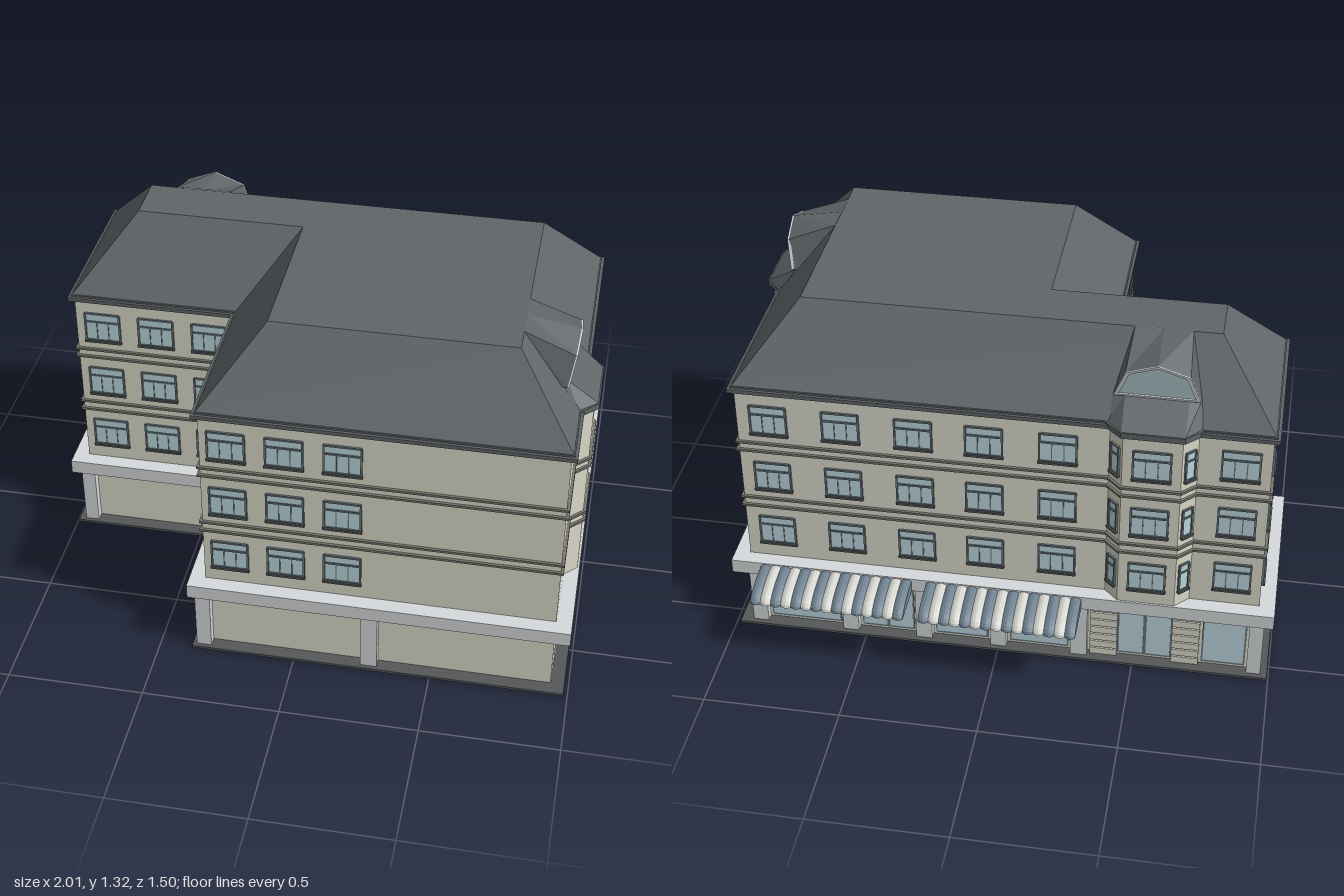
import * as THREE from 'three';

const mat = (color) => new THREE.MeshStandardMaterial({ color, side: THREE.DoubleSide, flatShading: true });
const M = {
  wall: mat(0xdcdbcb), trim: mat(0xd6dadc), roof: mat(0x606568), dark: mat(0x555759),
  band: mat(0x77766f), frame: mat(0x66747b), glass: mat(0xbcd8de), blue: mat(0x6f8290), pale: mat(0xd5d5d0),
};
const BACK = Math.PI, RIGHT = Math.PI / 2, LEFT = -Math.PI / 2;

function add(parent, name, geometry, material) {
  const mesh = new THREE.Mesh(geometry, material);
  mesh.name = name;
  parent.add(mesh);
  return mesh;
}

function place(parent, name, x, y, z, ry = 0) {
  const g = new THREE.Group();
  g.name = name;
  g.position.set(x, y, z);
  g.rotation.y = ry;
  parent.add(g);
  return g;
}

// box given by its limits
function box(parent, name, x0, x1, y0, y1, z0, z1, material) {
  const m = add(parent, name, new THREE.BoxGeometry(x1 - x0, y1 - y0, z1 - z0), material);
  m.position.set((x0 + x1) / 2, (y0 + y1) / 2, (z0 + z1) / 2);
  return m;
}

const planShape = (pts) => new THREE.Shape(pts.map(([x, z]) => new THREE.Vector2(x, -z)));

// upright prism over a plan outline of [x, z] points
function prism(parent, name, pts, y0, y1, material) {
  const g = new THREE.ExtrudeGeometry(planShape(pts), { depth: y1 - y0, bevelEnabled: false });
  g.rotateX(-Math.PI / 2).translate(0, y0, 0);
  return add(parent, name, g, material);
}

// faces between two matching rows of points
function strip(lower, upper, closed = false) {
  const v = [], n = lower.length;
  for (let i = 0; i < (closed ? n : n - 1); i++) {
    const j = (i + 1) % n;
    v.push(...lower[i], ...lower[j], ...upper[j], ...lower[i], ...upper[j], ...upper[i]);
  }
  const g = new THREE.BufferGeometry();
  g.setAttribute('position', new THREE.Float32BufferAttribute(v, 3));
  g.computeVertexNormals();
  return g;
}

// L-shaped plan and bay plan, grown outward by o
const plan = (o) => [[-0.945 - o, 0.075 + o], [-0.33 - o, 0.075 + o], [-0.33 - o, 0.69 + o],
  [0.935 + o, 0.69 + o], [0.935 + o, -0.525 - o], [-0.945 - o, -0.525 - o]];
const bayPlan = (o) => [[-0.1525 - o, -0.03], [-0.1525 - o, o * 0.4], [-0.1025 - o * 0.4, 0.05 + o],
  [0.1025 + o * 0.4, 0.05 + o], [0.1525 + o, o * 0.4], [0.1525 + o, -0.03]];

// frame, glass, crossbar, mullions and sill
function makeWindow(parent, x, y, z, ry, w = 0.13, h = 0.115, bars = 2) {
  const g = place(parent, 'window', x, y, z, ry), t = 0.007;
  box(g, 'windowGlass', -w / 2, w / 2, 0, h, -0.004, 0.003, M.glass);
  for (const s of [-1, 1]) {
    box(g, 'windowJamb', s * w / 2 - t / 2, s * w / 2 + t / 2, 0, h, -0.004, 0.008, M.frame);
  }
  for (const k of [0, 0.7, 1]) box(g, 'windowRail', -w / 2, w / 2, k * h - t / 2, k * h + t / 2, -0.004, 0.007, M.frame);
  for (let i = 1; i <= bars; i++) {
    const bx = -w / 2 + (w * i) / (bars + 1);
    box(g, 'windowMullion', bx - 0.002, bx + 0.002, 0, h * 0.7, -0.004, 0.006, M.frame);
  }
  box(g, 'windowSill', -w / 2 - 0.005, w / 2 + 0.005, -0.008, 0, -0.004, 0.013, M.dark);
}

// framed shop pane or glazed door
function pane(parent, name, x, z, ry, w, bars) {
  const g = place(parent, name, x, 0, z, ry);
  box(g, 'paneFrame', -w / 2, w / 2, 0.02, 0.245, -0.01, 0.004, M.frame);
  const cell = w / (bars + 1);
  for (let i = 0; i <= bars; i++) {
    const c = -w / 2 + cell * (i + 0.5);
    box(g, 'paneGlass', c - cell / 2 + 0.006, c + cell / 2 - 0.006, 0.03, 0.235, 0, 0.007, M.glass);
  }
}

const FLOORS = [0.375, 0.62, 0.865];
const BANDS = [0.535, 0.572, 0.782, 0.816];

// bay with dormer above; local +z points out of the wall
function makeBay(parent, x, z, ry, windows) {
  const g = place(parent, 'bay', x, 0, z, ry);
  prism(g, 'bayWall', bayPlan(0), 0.31, 1.04, M.wall);
  for (const y of BANDS) prism(g, 'bayBand', bayPlan(0.01), y, y + 0.009, M.band);
  prism(g, 'bayEave', bayPlan(0.018), 1.038, 1.06, M.roof);
  if (windows) {
    for (const y of FLOORS) {
      makeWindow(g, 0, y, 0.05, 0);
      for (const s of [-1, 1]) makeWindow(g, s * 0.1275, y, 0.025, s * Math.PI / 4, 0.042, 0.115, 0);
    }
  }
  add(g, 'bayRoof', strip(
    [[-0.165, 1.06, 0], [-0.108, 1.06, 0.063], [0.108, 1.06, 0.063], [0.165, 1.06, 0]],
    [[-0.15, 1.14, -0.055], [-0.11, 1.14, -0.045], [0.11, 1.14, -0.045], [0.15, 1.14, -0.055]]), M.roof);

  // dormer front leans slightly outward
  const lean = (y) => -0.05 + 0.025 * (y - 1.14) / 0.145;
  const outline = [[-0.15, 1.14], [-0.11, 1.245], [0, 1.285], [0.11, 1.245], [0.15, 1.14]];
  const face = (k) => outline.map(([u, y]) => new THREE.Vector2(u * k, 1.2 + (y - 1.2) * k));
  const front = (shape, depth) => {
    const e = new THREE.ExtrudeGeometry(shape, { depth, bevelEnabled: false });
    const p = e.attributes.position;
    for (let i = 0; i < p.count; i++) p.setZ(i, p.getZ(i) + lean(p.getY(i)));
    e.computeVertexNormals();
    return e;
  };
  const ring = new THREE.Shape(face(1));
  ring.holes.push(new THREE.Path(face(0.88)));
  add(g, 'dormerFrame', front(ring, 0.012), M.trim);
  add(g, 'dormerGlass', front(new THREE.Shape(face(0.9)), 0.004), M.glass);
  add(g, 'dormerRoof', strip(outline.map(([u, y]) => [u, y, lean(y) + 0.006]),
    [[-0.15, 1.14, -0.07], [-0.1, 1.316, -0.205], [0, 1.317, -0.205], [0.1, 1.316, -0.205], [0.15, 1.14, -0.07]]), M.roof);
}

// striped awning of bulging, curved strips
function makeAwning(parent, x0, x1) {
  const g = place(parent, 'awning', 0, 0, 0), n = 15, w = (x1 - x0) / n;
  const at = (t, r) => [0.253 + (0.046 + r) * Math.cos(t), -0.58 - (0.162 + r) * Math.sin(t)];
  for (let i = 0; i < n; i++) {
    const geo = new THREE.PlaneGeometry(1, 1, 4, 8), p = geo.attributes.position;
    for (let k = 0; k < p.count; k++) {
      const u = p.getX(k) + 0.5, t = (p.getY(k) + 0.5) * Math.PI / 2;
      const [y, z] = at(t, 0.008 * Math.sin(Math.PI * u));
      p.setXYZ(k, x0 + (i + u) * w, y, z);
    }
    geo.computeVertexNormals();
    add(g, 'awningStripe', geo, i % 2 ? M.pale : M.blue);
  }
  const side = new THREE.Shape([new THREE.Vector2(0.58, 0.253)]);
  for (let k = 0; k <= 8; k++) {
    const [y, z] = at(k / 8 * Math.PI / 2, 0);
    side.lineTo(-z, y);
  }
  for (const x of [x0, x1]) {
    const cap = add(g, 'awningEnd', new THREE.ShapeGeometry(side), M.blue);
    cap.rotation.y = Math.PI / 2;
    cap.position.x = x;
  }
}

export function createModel() {
  const model = new THREE.Group();
  model.name = 'cornerBuilding';

  // walls, ledge and bands
  prism(model, 'basePlate', plan(0.05), 0, 0.01, M.dark);
  prism(model, 'walls', plan(0), 0.01, 1.04, M.wall);
  prism(model, 'ledge', plan(0.057), 0.255, 0.31, M.trim);
  for (const y of BANDS) prism(model, 'band', plan(0.01), y, y + 0.009, M.band);

  // hipped roof with flat top
  prism(model, 'eave', plan(0.02), 1.038, 1.053, M.roof);
  prism(model, 'eaveTop', plan(0.01), 1.053, 1.06, M.roof);
  const rim = (o, y) => plan(o).map(([x, z]) => [x, y, z]);
  add(model, 'roofSlopes', strip(rim(0.005, 1.06), rim(-0.205, 1.315), true), M.roof);
  const top = new THREE.ShapeGeometry(planShape(plan(-0.205)));
  add(model, 'roofTop', top.rotateX(-Math.PI / 2).translate(0, 1.315, 0), M.roof);

  // bays
  makeBay(model, 0.935, 0.2875, RIGHT, false);
  makeBay(model, -0.54, -0.525, BACK, true);

  // upper windows
  for (const y of FLOORS) {
    for (let i = 0; i < 3; i++) {
      makeWindow(model, -0.845 + i * 0.203, y, 0.075, 0);
      makeWindow(model, -0.235 + i * 0.203, y, 0.69, 0);
      makeWindow(model, -0.945, y, -0.41 + i * 0.19, LEFT);
      makeWindow(model, -0.33, y, 0.19 + i * 0.19, LEFT);
    }
    for (const x of [0.82, 0.56, 0.3, 0.05, -0.21, -0.84]) makeWindow(model, x, y, -0.525, BACK);
  }

  // ground floor pillars
  const pillar = (x0, x1, z0, z1) => box(model, 'pillar', x0, x1, 0.01, 0.256, z0, z1, M.trim);
  pillar(-0.97, -0.918, 0.05, 0.11);
  pillar(-0.365, -0.31, 0.66, 0.725);
  pillar(0.245, 0.305, 0.68, 0.725);
  pillar(-0.97, -0.918, -0.555, -0.5);
  pillar(0.88, 0.938, -0.555, -0.5);
  for (const x of [0.56, 0.28, 0, -0.3]) pillar(x - 0.03, x + 0.03, -0.555, -0.51);

  // shop front along the back
  pane(model, 'shopWindow', 0.735, -0.525, BACK, 0.27, 0);
  pane(model, 'shopDoor', 0.42, -0.525, BACK, 0.2, 1);
  pane(model, 'shopWindow', 0.14, -0.525, BACK, 0.2, 0);
  pane(model, 'shopWindow', -0.15, -0.525, BACK, 0.22, 0);
  pane(model, 'entranceDoor', -0.54, -0.525, BACK, 0.2, 1);
  pane(model, 'shopWindow', -0.83, -0.525, BACK, 0.16, 0);
  for (const x of [-0.39, -0.69]) {
    for (let i = 0; i < 7; i++) {
      box(model, 'stoneCourse', x - 0.05, x + 0.05, 0.014 + i * 0.034, 0.042 + i * 0.034, -0.545, -0.52, M.wall);
    }
  }

  // side door, side shop window and side panel
  box(model, 'sideDoor', -0.951, -0.94, 0.015, 0.225, -0.47, -0.36, M.dark);
  pane(model, 'sideShopWindow', -0.945, -0.14, LEFT, 0.36, 0);
  box(model, 'sidePanel', 0.93, 0.939, 0.02, 0.245, 0.105, 0.61, M.wall);

  makeAwning(model, 0.315, 0.88);
  makeAwning(model, -0.31, 0.26);
  return model;
}
